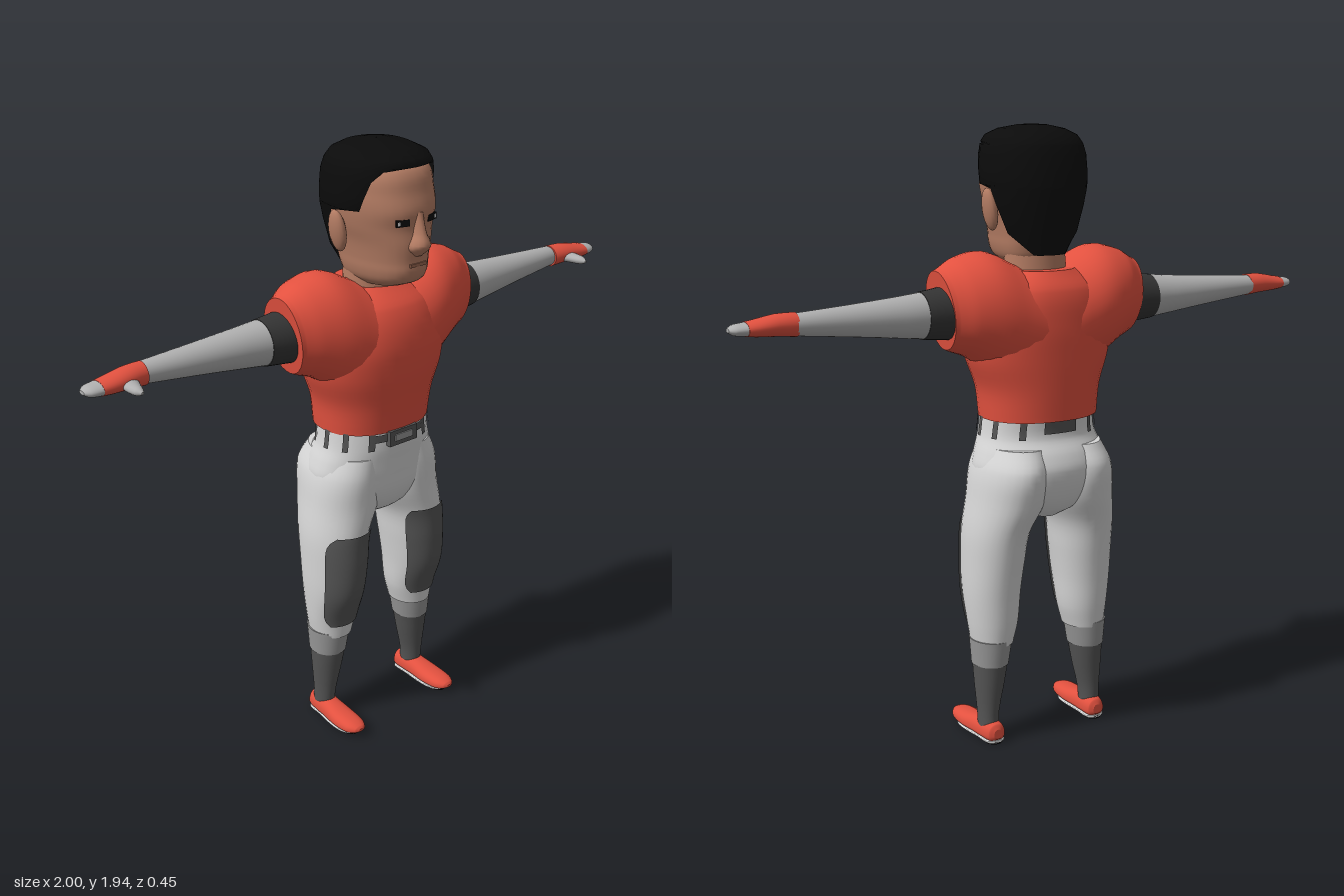
import * as THREE from 'three';

const mat = (name, color) => {
  const m = new THREE.MeshStandardMaterial({ color, side: THREE.DoubleSide });
  m.name = name;
  return m;
};
const TAU = Math.PI * 2;

// Smooth value of a ring list at height h; ring = [h, cx, cz, rx, rFront, rBack, extra]
function sample(rings, h, smooth) {
  let i = 0;
  while (i < rings.length - 2 && h > rings[i + 1][0]) i++;
  const p = rings[i], q = rings[i + 1], a = rings[Math.max(0, i - 1)], b = rings[Math.min(rings.length - 1, i + 2)];
  const d = q[0] - p[0], t = (h - p[0]) / d;
  return p.map((v, k) => {
    if (k === 0 || !smooth) return v + (q[k] - v) * t;
    const m0 = (q[k] - a[k]) / (q[0] - a[0]) * d, m1 = (b[k] - v) / (b[0] - p[0]) * d;
    const t2 = t * t, t3 = t2 * t;
    return (2 * t3 - 3 * t2 + 1) * v + (t3 - 2 * t2 + t) * m0 + (3 * t2 - 2 * t3) * q[k] + (t3 - t2) * m1;
  });
}

// Skin over rings stacked along y; arc(ring, t) limits it to part of the way round
function loft(rings, { from, to, steps = 5, segs = 32, n = 2, grow = 0, arc, smooth = true, caps = !arc } = {}) {
  const hs = [];
  if (from !== undefined) for (let i = 0; i <= steps; i++) hs.push(from + (to - from) * i / steps);
  else {
    for (let i = 0; i < rings.length - 1; i++)
      for (let s = 0; s < steps; s++) hs.push(rings[i][0] + (rings[i + 1][0] - rings[i][0]) * s / steps);
    hs.push(rings[rings.length - 1][0]);
  }
  const pos = [], idx = [], cols = arc ? segs + 1 : segs;
  const pw = v => Math.sign(v) * Math.pow(Math.abs(v), 2 / n);
  const samples = hs.map(h => sample(rings, h, smooth));
  samples.forEach((r, i) => {
    const [a0, a1] = arc ? arc(r, i / (hs.length - 1)) : [0, TAU];
    for (let j = 0; j < cols; j++) {
      const a = a0 + (a1 - a0) * j / segs, c = Math.cos(a);
      pos.push(r[1] + pw(Math.sin(a)) * (r[3] + grow), r[0], r[2] + pw(c) * ((c > 0 ? r[4] : r[5]) + grow));
    }
  });
  for (let i = 0; i < hs.length - 1; i++)
    for (let j = 0; j < segs; j++) {
      const a = i * cols + j, b = i * cols + (j + 1) % cols;
      idx.push(a, b, a + cols, b, b + cols, a + cols);
    }
  if (caps) for (const i of [0, hs.length - 1]) {
    const base = pos.length / 3, r = samples[i];
    pos.push(r[1], r[0], r[2]);
    for (let j = 0; j < cols; j++) pos.push(...pos.slice((i * cols + j) * 3, (i * cols + j) * 3 + 3));
    for (let j = 0; j < cols; j++) {
      const a = base + 1 + j, b = base + 1 + (j + 1) % cols;
      i ? idx.push(base, a, b) : idx.push(base, b, a);
    }
  }
  const g = new THREE.BufferGeometry();
  g.setAttribute('position', new THREE.Float32BufferAttribute(pos, 3));
  g.setIndex(idx);
  g.computeVertexNormals();
  return g;
}

// Copy reflected to the other side, with its faces turned the right way
function mirrored(g) {
  const m = g.clone().scale(-1, 1, 1), a = m.index.array;
  for (let i = 0; i < a.length; i += 3) [a[i], a[i + 1]] = [a[i + 1], a[i]];
  m.computeVertexNormals();
  return m;
}

export function createModel() {
  const model = new THREE.Group();
  model.name = 'ballPlayer';
  const red = mat('jersey red', 0xe2513f), white = mat('trouser white', 0xd6d6d6), grey = mat('sleeve grey', 0xb0b0b0);
  const dark = mat('sock grey', 0x555555), charcoal = mat('band charcoal', 0x343434), mid = mat('cuff grey', 0x979797);
  const skin = mat('skin', 0xb57d64), lip = mat('lip', 0x9a6751), black = mat('black', 0x0b0b0b);
  const add = (name, g, m) => {
    const mesh = new THREE.Mesh(g, m);
    mesh.name = name;
    model.add(mesh);
    return mesh;
  };
  const pair = (name, g, m) => { add(name + 'Left', g, m); add(name + 'Right', mirrored(g), m); };
  const alongX = g => g.rotateZ(-Math.PI / 2);
  const alongZ = g => g.rotateX(Math.PI / 2);

  // Jersey: body and one broad shoulder piece with tilted sleeve ends
  add('jerseyBody', loft([
    [1.055, 0, -0.03, 0.19, 0.155, 0.155], [1.15, 0, -0.03, 0.2, 0.17, 0.16], [1.25, 0, -0.03, 0.235, 0.187, 0.163],
    [1.35, 0, -0.03, 0.24, 0.19, 0.163], [1.45, 0, -0.03, 0.2, 0.16, 0.15], [1.51, 0, -0.03, 0.11, 0.1, 0.11]], { n: 2.2 }), red);
  const half = [
    [0.1, -1.355, -0.02, 0.175, 0.16, 0.17], [0.19, -1.39, -0.02, 0.18, 0.148, 0.165], [0.27, -1.405, -0.02, 0.15, 0.118, 0.14],
    [0.32, -1.4, -0.02, 0.127, 0.09, 0.105], [0.335, -1.4, -0.02, 0.12, 0.085, 0.098]];
  const shoulders = alongX(loft([
    ...half.map(([h, ...r]) => [-h, ...r]).reverse(), [0, -1.325, -0.02, 0.16, 0.165, 0.17], ...half]));
  const p = shoulders.attributes.position;
  for (let i = 0; i < p.count; i++) {
    const x = p.getX(i), k = Math.max(0, Math.abs(x) - 0.15) / 0.19;
    p.setX(i, x + Math.sign(x) * k * (p.getY(i) - 1.4) * 0.13);
  }
  shoulders.computeVertexNormals();
  add('jerseyShoulders', shoulders, red);

  // Arms: dark band, long sleeve, wrist glove, fingers and thumb
  const arm = [
    [0.28, -1.395, -0.03, 0.084, 0.08, 0.086], [0.41, -1.393, -0.038, 0.069, 0.066, 0.07], [0.6, -1.397, -0.045, 0.05, 0.05, 0.053],
    [0.81, -1.402, -0.05, 0.032, 0.034, 0.035]];
  pair('armBand', alongX(loft(arm, { from: 0.28, to: 0.41, grow: 0.002 })), charcoal);
  pair('sleeve', alongX(loft(arm, { from: 0.4, to: 0.81 })), grey);
  const hand = [
    [0.805, -1.402, -0.046, 0.034, 0.036, 0.038], [0.86, -1.404, -0.042, 0.031, 0.04, 0.04], [0.92, -1.4, -0.038, 0.024, 0.037, 0.04],
    [0.955, -1.399, -0.036, 0.019, 0.035, 0.038], [0.985, -1.399, -0.036, 0.015, 0.028, 0.03], [1, -1.399, -0.036, 0.006, 0.012, 0.014]];
  pair('glove', alongX(loft(hand, { from: 0.805, to: 0.95, grow: 0.001 })), red);
  pair('fingers', alongX(loft(hand, { from: 0.945, to: 1, steps: 8 })), grey);
  pair('thumb', alongZ(loft([
    [-0.03, 0.86, -1.397, 0.03, 0.018, 0.016], [0.01, 0.87, -1.395, 0.024, 0.016, 0.015],
    [0.045, 0.873, -1.394, 0.015, 0.012, 0.012], [0.063, 0.872, -1.394, 0.004, 0.004, 0.004]], { segs: 16 })), grey);

  // Trousers
  const hip = [
    [0.735, 0, -0.04, 0.05, 0.06, 0.07], [0.77, 0, -0.04, 0.13, 0.11, 0.12], [0.83, 0, -0.035, 0.21, 0.135, 0.16],
    [0.9, 0, -0.03, 0.224, 0.14, 0.18], [0.95, 0, -0.025, 0.212, 0.14, 0.17], [1.0, 0, -0.02, 0.194, 0.14, 0.147],
    [1.07, 0, -0.02, 0.184, 0.138, 0.15]];
  add('hips', loft(hip, { n: 2.1 }), white);
  const leg = [
    [0.33, 0.172, -0.032, 0.066, 0.075, 0.078], [0.4, 0.168, -0.03, 0.08, 0.085, 0.09], [0.5, 0.168, -0.03, 0.088, 0.122, 0.1],
    [0.6, 0.163, -0.03, 0.094, 0.132, 0.115], [0.7, 0.155, -0.03, 0.1, 0.13, 0.135], [0.8, 0.125, -0.03, 0.116, 0.13, 0.168],
    [0.9, 0.115, -0.03, 0.11, 0.135, 0.185], [0.97, 0.1, -0.03, 0.095, 0.13, 0.15]];
  pair('leg', loft(leg), white);
  const padArc = (r, t) => { const w = 1 - 0.3 * Math.pow(2 * t - 1, 8); return [-0.92 * w, 1.02 * w]; };
  pair('kneePad', loft(leg, { from: 0.38, to: 0.72, steps: 20, segs: 16, grow: 0.006, arc: padArc }), dark);

  // Belt loops, back belt and buckle
  [-2.5, -1.95, -1.5, -1.05, -0.55, 0.55, 1.05, 1.5, 1.95, 2.5].forEach((a, i) =>
    add('beltLoop' + i, loft(hip, { n: 2.1, from: 1.0, to: 1.06, segs: 3, grow: 0.005, arc: () => [a - 0.06, a + 0.06] }), dark));
  add('beltBack', loft(hip, { n: 2.1, from: 1.015, to: 1.058, segs: 8, grow: 0.005, arc: () => [Math.PI - 0.28, Math.PI + 0.28] }), dark);
  add('beltFront', loft(hip, { n: 2.1, from: 1.025, to: 1.05, segs: 12, grow: 0.004, arc: () => [-0.5, 0.5] }), dark);
  add('bucklePlate', new THREE.BoxGeometry(0.11, 0.05, 0.02).translate(0, 1.035, 0.122), dark);
  add('buckleBar', new THREE.BoxGeometry(0.07, 0.022, 0.008).translate(0, 1.036, 0.132), mid);

  // Lower legs: cuff and sock
  const shin = [
    [0.05, 0.193, -0.045, 0.032, 0.04, 0.037], [0.1, 0.192, -0.042, 0.034, 0.042, 0.04], [0.18, 0.186, -0.038, 0.046, 0.05, 0.052],
    [0.26, 0.181, -0.035, 0.055, 0.06, 0.065], [0.345, 0.177, -0.034, 0.064, 0.071, 0.076]];
  pair('sock', loft(shin, { from: 0.05, to: 0.26 }), dark);
  pair('trouserCuff', loft(shin, { from: 0.26, to: 0.345, grow: 0.003 }), mid);

  // Shoes with white trim and black soles
  pair('shoe', alongZ(loft([
    [-0.102, 0.19, -0.03, 0.014, 0.012, 0.02], [-0.092, 0.19, -0.03, 0.03, 0.022, 0.036], [-0.05, 0.192, -0.03, 0.037, 0.022, 0.042],
    [0, 0.194, -0.028, 0.038, 0.02, 0.04], [0.06, 0.196, -0.026, 0.042, 0.018, 0.032], [0.12, 0.197, -0.027, 0.037, 0.015, 0.025],
    [0.148, 0.197, -0.03, 0.022, 0.009, 0.014], [0.156, 0.197, -0.031, 0.008, 0.004, 0.005]], { n: 2.3 })), red);
  const sole = (s, y) => alongZ(loft([
    [-0.1, 0.19, -y, 0.012, 0.005, 0.005], [-0.088, 0.19, -y, 0.028, 0.005, 0.005], [-0.03, 0.192, -y, 0.031, 0.005, 0.005],
    [0.05, 0.195, -y, 0.036, 0.005, 0.005], [0.1, 0.196, -y, 0.03, 0.005, 0.005], [0.125, 0.196, -y, 0.01, 0.005, 0.005],
  ].map(r => { r[3] *= s; return r; }), { n: 4 }));
  pair('soleTrim', sole(1.1, 0.009), white);
  pair('sole', sole(0.95, 0.005), black);

  // Neck and head
  add('neck', loft([[1.44, 0, -0.015, 0.11, 0.09, 0.09], [1.5, 0, -0.015, 0.1, 0.088, 0.085], [1.62, 0, -0.01, 0.095, 0.08, 0.085]]), skin);
  add('head', loft([
    [1.525, 0, 0, 0.075, 0.125, 0.06], [1.545, 0, 0, 0.094, 0.17, 0.09], [1.575, 0, 0, 0.104, 0.188, 0.105],
    [1.61, 0, 0, 0.108, 0.19, 0.12], [1.66, 0, 0, 0.117, 0.194, 0.135], [1.71, 0, 0, 0.132, 0.19, 0.145], [1.76, 0, 0, 0.141, 0.197, 0.15],
    [1.81, 0, 0, 0.143, 0.184, 0.15], [1.87, 0, 0, 0.134, 0.164, 0.135], [1.91, 0, 0, 0.09, 0.11, 0.09]], { n: 2.3 }), skin);
  add('nose', loft([
    [1.63, 0, 0.186, 0.014, 0.012, 0.02], [1.65, 0, 0.186, 0.034, 0.034, 0.02], [1.667, 0, 0.186, 0.035, 0.044, 0.02],
    [1.7, 0, 0.186, 0.02, 0.032, 0.02], [1.76, 0, 0.186, 0.014, 0.013, 0.02]], { segs: 16 }), skin);
  add('mouth', new THREE.BoxGeometry(0.06, 0.01, 0.008).translate(0, 1.602, 0.188), lip);
  pair('ear', new THREE.SphereGeometry(1, 16, 12).scale(0.02, 0.065, 0.034).rotateZ(-0.15).translate(0.149, 1.69, 0.002), skin);
  pair('eye', new THREE.BoxGeometry(0.042, 0.02, 0.009).rotateY(0.28).translate(0.055, 1.734, 0.182), black);
  pair('eyeWhite', new THREE.BoxGeometry(0.008, 0.01, 0.009).rotateY(0.28).translate(0.068, 1.734, 0.1795), white);

  // Hair: a shell open over the face; the last ring value is half the opening
  add('hair', loft([
    [1.555, 0, 0, 0.09, 0.1, 0.125, 2.5], [1.62, 0, 0, 0.125, 0.1, 0.148, 1.9], [1.7, 0, 0, 0.147, 0.12, 0.163, 1.75],
    [1.752, 0, 0, 0.157, 0.15, 0.171, 1.65], [1.762, 0, 0, 0.158, 0.155, 0.171, 1.02], [1.8, 0, 0, 0.159, 0.165, 0.17, 0.95],
    [1.85, 0, 0, 0.156, 0.175, 0.164, 0.85], [1.88, 0, 0, 0.148, 0.178, 0.154, 0.66], [1.887, 0, 0, 0.145, 0.178, 0.15, 0],
    [1.908, 0, 0, 0.13, 0.17, 0.135, 0], [1.926, 0, 0, 0.095, 0.125, 0.1, 0], [1.938, 0, 0, 0.04, 0.05, 0.045, 0], [1.94, 0, 0, 0.001, 0.001, 0.001, 0]],
  { smooth: false, steps: 1, segs: 40, n: 2.2, arc: r => [r[6], TAU - r[6]] }), black);

  return model;
}
